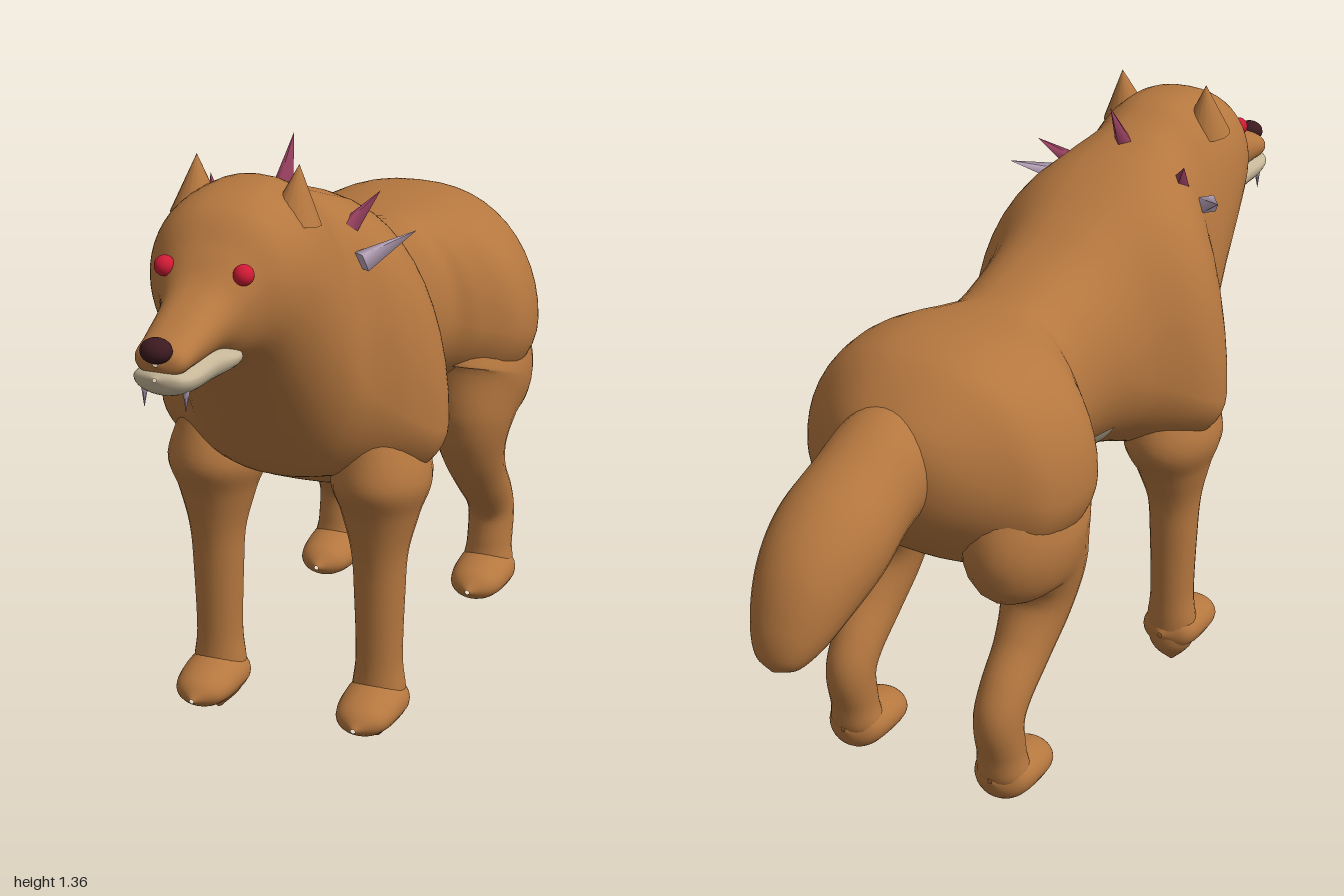
import * as THREE from 'three';

const mat = (name, color, extra = {}) => {
  const m = new THREE.MeshStandardMaterial({ color, ...extra });
  m.name = name;
  return m;
};

// Smooth skin through oval rings. Each station: [x, y, z, halfWidth, up, down].
// Rings face along the path, or stay upright when upright is true.
function loft(stations, { steps = 6, sides = 32, upright = false, power = 1, from = 0, to = Math.PI * 2 } = {}) {
  const path = new THREE.CatmullRomCurve3(stations.map(s => new THREE.Vector3(s[0], s[1], s[2])));
  const size = new THREE.CatmullRomCurve3(stations.map(s => new THREE.Vector3(s[3], s[4], s[5])));
  path.curveType = size.curveType = 'catmullrom';
  const closed = to - from > 6.28;
  const cols = closed ? sides : sides + 1;
  const rows = (stations.length - 1) * steps;
  const side = new THREE.Vector3(1, 0, 0);
  const pos = [], index = [];
  for (let i = 0; i <= rows; i++) {
    const t = i / rows, c = path.getPoint(t), r = size.getPoint(t);
    const tangent = upright ? new THREE.Vector3(0, 0, 1) : path.getTangent(t);
    const up = tangent.cross(side).normalize();
    for (let j = 0; j < cols; j++) {
      const a = from + (to - from) * j / sides;
      const cs = Math.cos(a), sn = Math.sin(a);
      const h = Math.max(r.x, 0.001) * Math.sign(cs) * Math.abs(cs) ** power;
      const v = Math.max(sn > 0 ? r.y : r.z, 0.001) * sn;
      pos.push(c.x + h, c.y + up.y * v, c.z + up.z * v);
    }
  }
  for (let i = 0; i < rows; i++) {
    for (let j = 0; j < sides; j++) {
      const k = closed ? (j + 1) % cols : j + 1;
      const a = i * cols + j, b = i * cols + k;
      index.push(a, b, a + cols, b, b + cols, a + cols);
    }
  }
  const g = new THREE.BufferGeometry();
  g.setAttribute('position', new THREE.Float32BufferAttribute(pos, 3));
  g.setIndex(index);
  g.computeVertexNormals();
  return g;
}

export function createModel() {
  const model = new THREE.Group();
  model.name = 'wolf';
  const fur = mat('brown fur', 0xb5773f);
  const pale = mat('pale fur', 0xc6b698, { side: THREE.DoubleSide });
  const red = mat('red eye', 0xd01a35);
  const dark = mat('dark nose', 0x3c1a20);
  const magenta = mat('magenta spike', 0x9c4262);
  const lilac = mat('lilac spike', 0xbba6bd);

  const add = (name, geometry, material) => {
    const mesh = new THREE.Mesh(geometry, material);
    mesh.name = name;
    model.add(mesh);
    return mesh;
  };
  const ball = (name, material, p, s) => {
    const m = add(name, new THREE.SphereGeometry(1, 20, 14), material);
    m.position.set(...p);
    m.scale.set(...s);
  };
  // Cone from a base point to a tip
  const spike = (name, material, base, tip, radius, sides = 4) => {
    const a = new THREE.Vector3(...base), b = new THREE.Vector3(...tip);
    const d = b.clone().sub(a);
    const m = add(name, new THREE.ConeGeometry(radius, d.length(), sides), material);
    m.position.copy(a).add(b).multiplyScalar(0.5);
    m.quaternion.setFromUnitVectors(new THREE.Vector3(0, 1, 0), d.normalize());
  };

  // Rump, waist, shoulders, neck, head and snout: [z, widest y, half width, up, down]
  const trunk = [
    [-0.64, 0.85, 0.04, 0.04, 0.04], [-0.60, 0.84, 0.14, 0.12, 0.13],
    [-0.52, 0.80, 0.24, 0.23, 0.17], [-0.45, 0.77, 0.305, 0.29, 0.19],
    [-0.35, 0.77, 0.33, 0.30, 0.20], [-0.27, 0.78, 0.315, 0.285, 0.18],
    [-0.20, 0.80, 0.25, 0.26, 0.15], [-0.14, 0.83, 0.195, 0.235, 0.175],
    [0.00, 0.86, 0.20, 0.25, 0.215], [0.10, 0.82, 0.235, 0.34, 0.19],
    [0.20, 0.76, 0.31, 0.45, 0.16], [0.27, 0.74, 0.325, 0.50, 0.16],
    [0.34, 0.78, 0.285, 0.485, 0.16], [0.42, 0.87, 0.215, 0.425, 0.22],
    [0.50, 1.00, 0.195, 0.325, 0.26], [0.60, 1.12, 0.178, 0.205, 0.24],
    [0.68, 1.15, 0.15, 0.15, 0.165], [0.74, 1.14, 0.105, 0.10, 0.125],
    [0.80, 1.115, 0.075, 0.065, 0.07], [0.90, 1.095, 0.06, 0.04, 0.045],
    [0.96, 1.085, 0.05, 0.028, 0.03], [0.978, 1.085, 0.005, 0.005, 0.005],
  ].map(([z, ...s]) => [0, s[0], z, ...s.slice(1)]);
  add('body and head', loft(trunk, { upright: true, power: 0.85, sides: 48 }), fur);

  // Pale lower jaw
  add('lower jaw', loft([
    [0, 1.03, 0.70, 0.03, 0.01, 0.02], [0, 1.035, 0.75, 0.078, 0.02, 0.035],
    [0, 1.045, 0.84, 0.071, 0.035, 0.045], [0, 1.045, 0.92, 0.064, 0.025, 0.04],
    [0, 1.05, 0.965, 0.05, 0.02, 0.028], [0, 1.055, 0.983, 0.004, 0.004, 0.004],
  ], { upright: true }), pale);
  ball('nose', dark, [0, 1.11, 0.972], [0.032, 0.025, 0.028]);

  // Tail, from the tip forward
  add('tail', loft([
    [0, 0.558, -0.985, 0.004, 0.004, 0.004], [0, 0.575, -0.972, 0.05, 0.035, 0.04],
    [0, 0.625, -0.93, 0.085, 0.075, 0.075], [0, 0.70, -0.86, 0.112, 0.112, 0.11],
    [0, 0.762, -0.78, 0.125, 0.122, 0.125], [0, 0.815, -0.68, 0.118, 0.12, 0.12],
    [0, 0.86, -0.57, 0.115, 0.12, 0.12], [0, 0.88, -0.50, 0.08, 0.08, 0.08],
  ]), fur);

  // Spike in the middle of the neck
  spike('top neck spike', magenta, [0, 1.265, 0.355], [0, 1.36, 0.295], 0.022);

  for (const [s, label] of [[1, 'left'], [-1, 'right']]) {
    // Mirrored limbs: [y, z, half width, front, back]
    const limb = (name, x, list) =>
      add(`${label} ${name}`, loft(list.map(([y, z, ...r]) => [s * x, y, z, ...r]), { sides: 24 }), fur);

    limb('front leg', 0.19, [
      [0.76, 0.28, 0.06, 0.10, 0.10], [0.63, 0.28, 0.105, 0.135, 0.145],
      [0.54, 0.285, 0.083, 0.095, 0.10], [0.45, 0.29, 0.062, 0.065, 0.066],
      [0.35, 0.29, 0.056, 0.055, 0.055], [0.20, 0.29, 0.052, 0.05, 0.05],
      [0.12, 0.29, 0.06, 0.055, 0.05], [0.06, 0.295, 0.05, 0.05, 0.05],
      [0.01, 0.30, 0.006, 0.01, 0.01],
    ]);
    limb('front paw', 0.19, [
      [0.10, 0.235, 0.005, 0.005, 0.005], [0.10, 0.265, 0.062, 0.045, 0.045],
      [0.10, 0.33, 0.07, 0.05, 0.05], [0.095, 0.41, 0.055, 0.036, 0.036],
      [0.09, 0.45, 0.005, 0.005, 0.005],
    ]);
    limb('hind leg', 0.195, [
      [0.80, -0.38, 0.08, 0.13, 0.13], [0.66, -0.36, 0.12, 0.18, 0.18],
      [0.56, -0.315, 0.10, 0.13, 0.13], [0.47, -0.32, 0.078, 0.088, 0.09],
      [0.38, -0.375, 0.063, 0.068, 0.068], [0.30, -0.445, 0.057, 0.06, 0.06],
      [0.24, -0.473, 0.055, 0.058, 0.058], [0.16, -0.463, 0.055, 0.052, 0.052],
      [0.10, -0.455, 0.058, 0.05, 0.05], [0.05, -0.455, 0.006, 0.01, 0.01],
    ]);
    limb('hind paw', 0.195, [
      [0.105, -0.51, 0.005, 0.005, 0.005], [0.10, -0.48, 0.06, 0.05, 0.05],
      [0.098, -0.42, 0.07, 0.05, 0.05], [0.093, -0.34, 0.055, 0.038, 0.036],
      [0.092, -0.297, 0.005, 0.005, 0.005],
    ]);

    // Pale patch low on the flank
    const arc = s > 0 ? [-1.1, -0.62] : [Math.PI + 0.62, Math.PI + 1.1];
    add(`${label} belly patch`, loft([
      [0, 0.833, -0.125, 0.199, 0.235, 0.185], [0, 0.849, -0.05, 0.200, 0.24, 0.206],
      [0, 0.857, 0.03, 0.213, 0.27, 0.219],
    ], { upright: true, power: 0.85, sides: 8, from: arc[0], to: arc[1] }), pale);

    // Face
    spike(`${label} ear`, fur, [s * 0.105, 1.25, 0.55], [s * 0.11, 1.365, 0.535], 0.055, 14);
    ball(`${label} eye`, red, [s * 0.083, 1.2, 0.752], [0.021, 0.021, 0.021]);
    spike(`${label} fang`, lilac, [s * 0.043, 1.035, 0.935], [s * 0.043, 0.98, 0.94], 0.009, 6);

    // Neck spikes
    spike(`${label} upper neck spike`, magenta, [s * 0.145, 1.19, 0.365], [s * 0.19, 1.255, 0.295], 0.022);
    spike(`${label} side neck spike`, lilac, [s * 0.19, 1.135, 0.405], [s * 0.272, 1.182, 0.305], 0.026);
  }
  return model;
}
